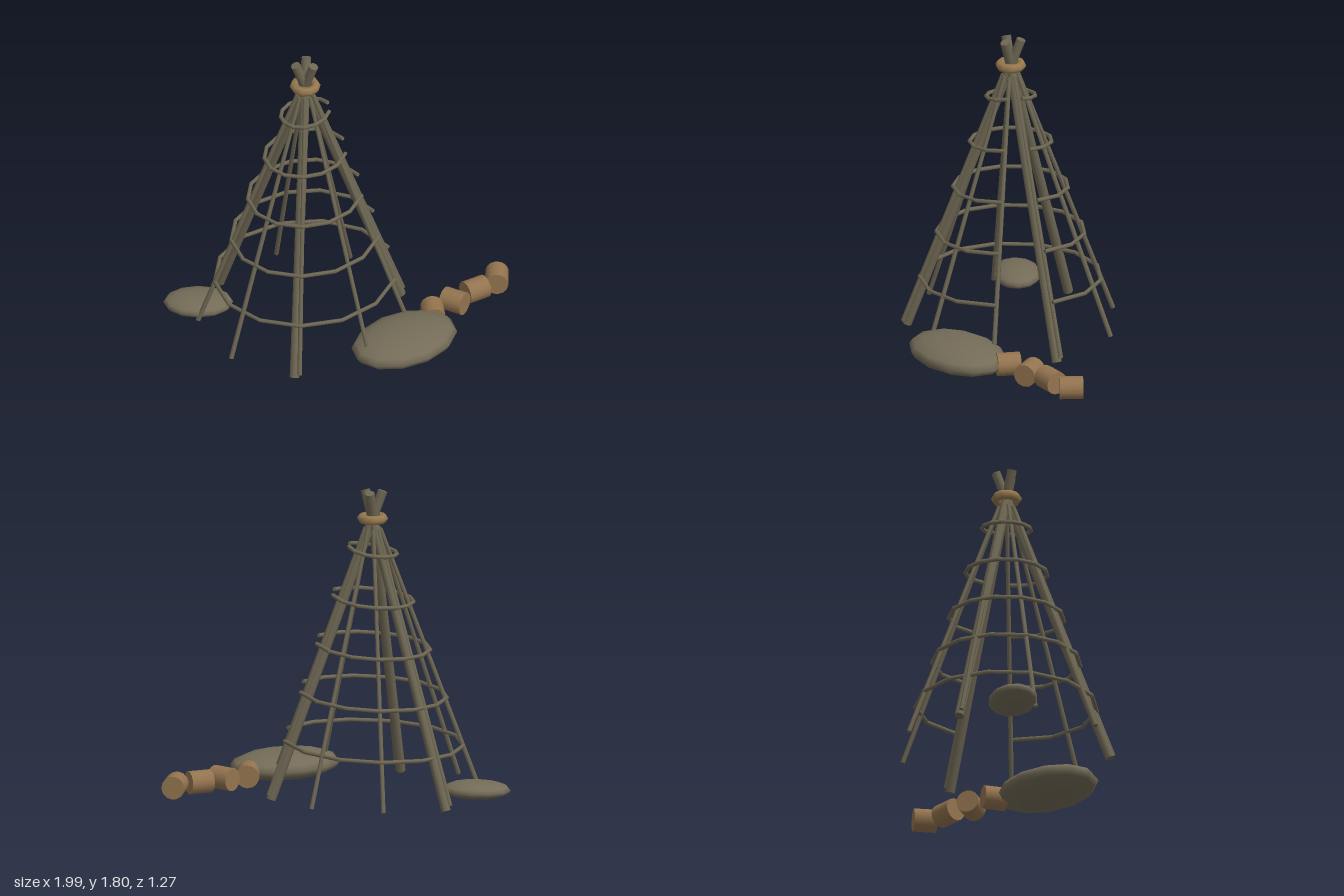
import * as THREE from 'three';

const mat = (name, color) => {
  const m = new THREE.MeshStandardMaterial({ color });
  m.name = name;
  return m;
};
const V = (x, y, z) => new THREE.Vector3(x, y, z);

export function createModel() {
  const model = new THREE.Group();
  model.name = 'poleShelterFrame';
  const wood = mat('weatheredWood', 0x6e6753);
  const stone = mat('stone', 0x746c58);
  const bark = mat('cutLogWood', 0x94744f);
  const rope = mat('rope', 0x987a50);
  const cx = -0.2, cz = -0.01;

  const add = (geo, material, name, parent = model) => {
    const mesh = new THREE.Mesh(geo, material);
    mesh.name = name;
    parent.add(mesh);
    return mesh;
  };

  // Round bar from a to b
  const bar = (a, b, rTop, rBottom, sides, material, name, parent) => {
    const dir = b.clone().sub(a);
    const mesh = add(new THREE.CylinderGeometry(rTop, rBottom, dir.length(), sides), material, name, parent);
    mesh.position.copy(a).add(b).multiplyScalar(0.5);
    mesh.quaternion.setFromUnitVectors(V(0, 1, 0), dir.normalize());
    return mesh;
  };

  // Point on a circle about the frame's axis
  const around = (r, y, angle) => V(cx + r * Math.cos(angle), y, cz + r * Math.sin(angle));

  // Three heavy poles crossing near the top
  const feet = [[-0.645, -0.415], [-0.325, 0.57], [0.37, -0.185]];
  for (const [x, z] of feet) {
    const foot = V(x, 0.015, z);
    const cross = V(cx, 1.63, cz);
    const top = foot.clone().lerp(cross, 1.1);
    bar(foot, top, 0.028, 0.028, 8, wood, 'mainPole');
  }

  // Nine thin poles, leaving a doorway on the +x side
  const start = THREE.MathUtils.degToRad(18.5);
  const sweep = Math.PI * 2 - 2 * start;
  for (let i = 0; i < 9; i++) {
    const a = start + (sweep * i) / 8;
    bar(around(0.615, 0.045, a), around(0.045, 1.575, a), 0.012, 0.014, 6, wood, 'thinPole');
  }

  // Open hoops that sag towards the back of the doorway
  for (let k = 0; k < 5; k++) {
    const hoop = new THREE.Group();
    hoop.name = 'hoop';
    model.add(hoop);
    const r = 0.52 - 0.095 * k;
    const point = t => around(r, 0.355 + 0.28 * k - 0.05 * Math.sin(Math.PI * t), start + sweep * t);
    for (let i = 0; i < 12; i++) {
      const a = point(i / 12), b = point((i + 1) / 12);
      const extra = b.clone().sub(a).setLength(0.003);
      bar(a.sub(extra), b.add(extra), 0.012, 0.012, 6, wood, 'hoopRod', hoop);
    }
  }

  // Lashing around the crossing
  const lashing = add(new THREE.TorusGeometry(0.062, 0.027, 6, 10), rope, 'lashing');
  lashing.rotation.x = Math.PI / 2;
  lashing.position.set(cx, 1.633, cz);

  // Flat boulders: x, y, z, half sizes, turn
  const boulders = [
    [0.327, 0.093, 0.382, 0.335, 0.085, 0.235, 0.54],
    [-0.8, 0.08, -0.14, 0.2, 0.052, 0.14, -0.1],
  ];
  for (const [x, y, z, sx, sy, sz, turn] of boulders) {
    const boulder = add(new THREE.SphereGeometry(1, 12, 8), stone, 'flatBoulder');
    boulder.scale.set(sx, sy, sz);
    boulder.rotation.y = turn;
    boulder.position.set(x, y, z);
  }

  // Cut logs lying on their sides: x, z, axis x, axis z
  const logs = [
    [0.52, 0.12, 0, 1],
    [0.655, 0.02, 0.82, 0.57],
    [0.785, -0.08, 0.9, -0.43],
    [0.92, -0.18, -0.13, 0.99],
  ];
  for (const [x, z, ax, az] of logs) {
    const c = V(x, 0.087, z), h = V(ax, 0, az).setLength(0.067);
    bar(c.clone().sub(h), c.clone().add(h), 0.067, 0.067, 14, bark, 'cutLog');
  }

  return model;
}
